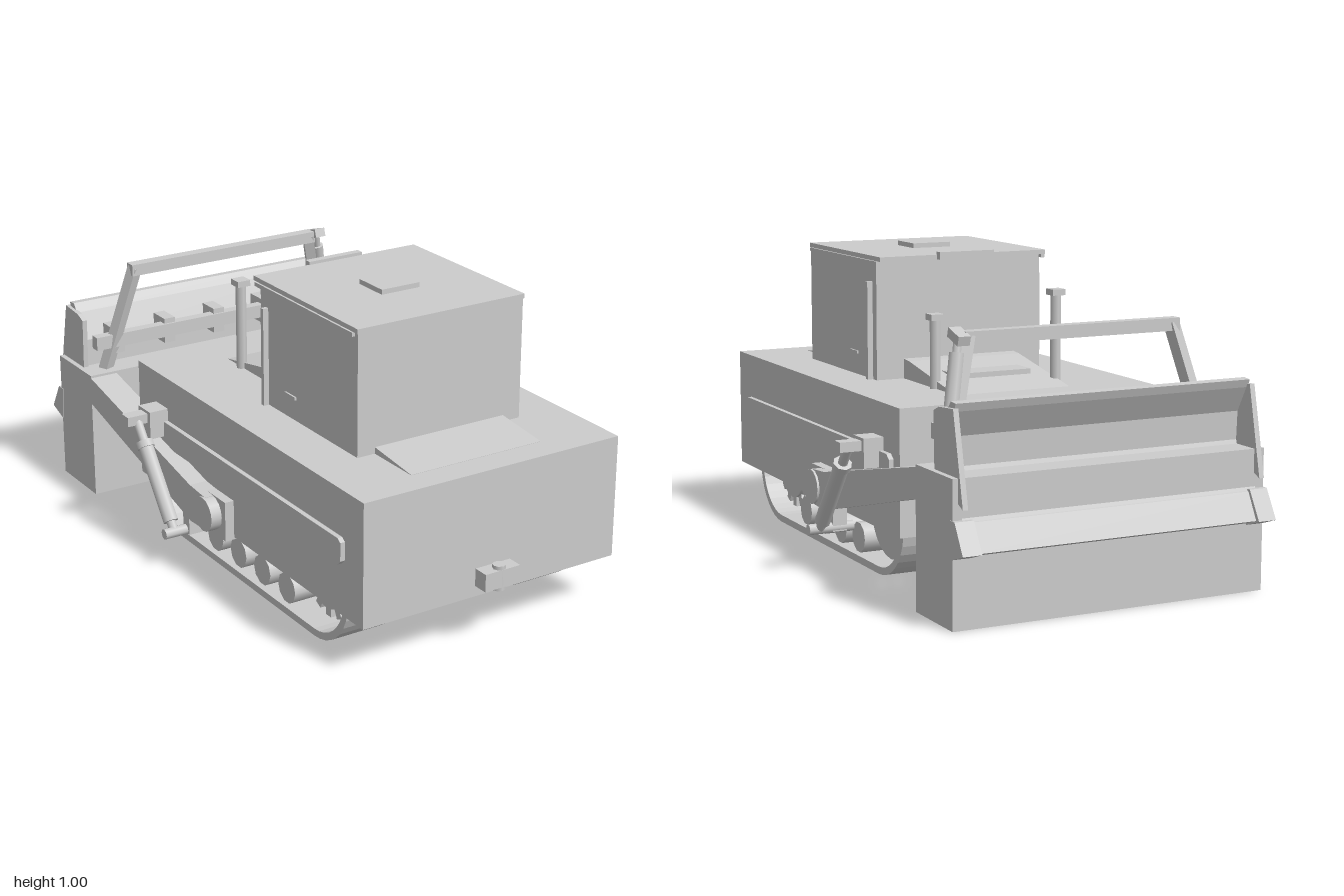
import * as THREE from 'three';

const V = (x, y, z) => new THREE.Vector3(x, y, z);

export function createModel() {
  const model = new THREE.Group();
  model.name = 'bulldozer';
  const paint = new THREE.MeshStandardMaterial({ color: 0xcccccc });
  paint.name = 'light grey';

  const add = (name, geometry) => {
    const mesh = new THREE.Mesh(geometry, paint);
    mesh.name = name;
    model.add(mesh);
    return mesh;
  };
  // box given by its limits on each axis
  const box = (name, x0, x1, y0, y1, z0, z1) =>
    add(name, new THREE.BoxGeometry(x1 - x0, y1 - y0, z1 - z0)
      .translate((x0 + x1) / 2, (y0 + y1) / 2, (z0 + z1) / 2));
  // side profile, as a Shape or a list of [z, y] points, extruded from x0 to x1
  const profile = (name, outline, x0, x1) => {
    const shape = outline instanceof THREE.Shape
      ? outline
      : new THREE.Shape(outline.map(([z, y]) => new THREE.Vector2(z, y)));
    return add(name, new THREE.ExtrudeGeometry(shape, { depth: x1 - x0, bevelEnabled: false, curveSegments: 9 })
      .rotateY(-Math.PI / 2).translate(x1, 0, 0));
  };
  // same profile on both sides, between |x| = x0 and x1
  const pair = (name, outline, x0, x1) => {
    profile(name + 'Left', outline, x0, x1);
    profile(name + 'Right', outline, -x1, -x0);
  };
  const rect = (z0, z1, y0, y1) => [[z0, y0], [z1, y0], [z1, y1], [z0, y1]];
  // bar or rod from a to b
  const between = (name, geometry, a, b) => {
    const mesh = add(name, geometry);
    mesh.position.copy(a).add(b).multiplyScalar(0.5);
    mesh.quaternion.setFromUnitVectors(V(0, 1, 0), b.clone().sub(a).normalize());
  };
  const rod = (name, a, b, r) =>
    between(name, new THREE.CylinderGeometry(r, r, a.distanceTo(b), 8), a, b);
  const bar = (name, a, b, w, d = w) =>
    between(name, new THREE.BoxGeometry(w, a.distanceTo(b), d), a, b);
  const disc = (name, x, y, z, r, w, sides) =>
    add(name, new THREE.CylinderGeometry(r, r, w, sides).rotateZ(Math.PI / 2).translate(x, y, z));

  // Hull
  box('hull', -0.468, 0.468, 0.165, 0.57, -0.435, 0.943);
  pair('sideStrip', [[0.83, 0.335], [-0.37, 0.335], [-0.39, 0.36], [-0.39, 0.405], [-0.37, 0.42], [0.83, 0.42], [0.845, 0.41], [0.845, 0.35]], 0.46, 0.484);
  profile('hood', [[0.12, 0.56], [0.12, 0.638], [0.06, 0.633], [-0.29, 0.57], [-0.29, 0.56]], -0.205, 0.205);
  box('hoodPanel', -0.14, 0.14, 0.57, 0.613, -0.145, -0.02);
  profile('rearDeck', [[0.85, 0.56], [0.85, 0.571], [0.64, 0.593], [0.64, 0.56]], -0.24, 0.24);

  // Nose grille and lamps
  box('nosePlate', -0.3, 0.3, 0.44, 0.56, -0.442, -0.43);
  for (let i = 0; i < 3; i++) box('grilleSlat', -0.12, 0.12, 0.455 + i * 0.035, 0.47 + i * 0.035, -0.452, -0.43);
  for (const s of [-1, 1]) box('noseLamp', s * 0.18 - 0.04, s * 0.18 + 0.04, 0.42, 0.535, -0.462, -0.43);

  // Cabin
  box('cabin', -0.303, 0.303, 0.565, 0.975, 0.1, 0.657);
  box('roof', -0.306, 0.306, 0.965, 0.98, 0.062, 0.66);
  pair('roofGutter', rect(0.08, 0.64, 0.952, 0.965), 0.3, 0.313);
  box('roofHatch', -0.07, 0.07, 0.978, 0.996, 0.31, 0.435);
  box('roofLamp', -0.1, 0.1, 0.965, 0.99, 0.04, 0.065);
  pair('cabinRail', rect(0.13, 0.145, 0.57, 0.895), 0.3, 0.322);
  pair('doorHandle', rect(0.25, 0.31, 0.64, 0.65), 0.3, 0.309);

  // Exhaust stacks
  for (const [x, z, top] of [[-0.205, -0.195, 0.878], [0.203, -0.135, 0.812]]) {
    rod('exhaustStack', V(x, 0.56, z), V(x, top - 0.01, z), 0.018);
    box('exhaustCap', x - 0.023, x + 0.023, top - 0.02, top, z - 0.023, z + 0.023);
  }

  // Rear hitch
  box('hitch', -0.064, 0.064, 0.2, 0.258, 0.94, 0.995);
  rod('hitchPin', V(0, 0.188, 0.975), V(0, 0.27, 0.975), 0.021);

  // Tracks
  const loop = (path, r) => {
    path.moveTo(-0.21, 0.19 - r);
    path.lineTo(0.63, 0.19 - r);
    path.absarc(0.63, 0.19, r, -Math.PI / 2, Math.PI / 2);
    path.lineTo(-0.21, 0.19 + r);
    path.absarc(-0.21, 0.19, r, Math.PI / 2, Math.PI * 1.5);
    return path;
  };
  const belt = loop(new THREE.Shape(), 0.19);
  belt.holes.push(loop(new THREE.Path(), 0.166));
  pair('trackBelt', belt, 0.253, 0.44);
  for (const s of [-1, 1]) {
    const x = s * 0.347;
    disc('idlerWheel', x, 0.195, -0.21, 0.152, 0.1, 24);
    disc('sprocket', x, 0.19, 0.63, 0.105, 0.1, 20);
    for (let i = 0; i < 14; i++) {
      const tooth = add('sprocketTooth', new THREE.BoxGeometry(0.08, 0.04, 0.028).translate(0, -0.118, 0));
      tooth.position.set(x, 0.19, 0.63);
      tooth.rotation.x = (i / 14) * Math.PI * 2;
    }
    for (let i = 0; i < 4; i++) disc('roadWheel', x, 0.076, 0.44 - i * 0.15, 0.051, 0.15, 10);
  }

  // Push arms and their pivots
  pair('pushArm', [[0.12, 0.175], [0.02, 0.17], [-0.7, 0.348], [-0.7, 0.443], [0.02, 0.297], [0.12, 0.29]], 0.43, 0.53);
  pair('armBracket', rect(0.03, 0.195, 0.158, 0.293), 0.45, 0.5);
  for (const s of [-1, 1]) disc('armPivot', s * 0.5, 0.232, 0.115, 0.058, 0.075, 16);

  // Lift cylinders beside the hull
  for (const s of [-1, 1]) {
    const x = s * 0.566, low = V(x, 0.125, -0.03), high = V(x, 0.435, -0.27);
    rod('liftBarrel', low.clone().lerp(high, 0.08), low.clone().lerp(high, 0.78), 0.026);
    rod('liftRod', low, high, 0.016);
    rod('liftCollar', low.clone().lerp(high, 0.74), low.clone().lerp(high, 0.8), 0.031);
    bar('liftHead', V(s * 0.46, 0.437, -0.275), V(s * 0.607, 0.437, -0.275), 0.032, 0.045);
    bar('liftMount', V(s * 0.46, 0.415, -0.275), V(s * 0.535, 0.415, -0.275), 0.095, 0.08);
    rod('liftFootPin', V(s * 0.45, 0.122, -0.025), V(s * 0.605, 0.122, -0.025), 0.018);
    bar('liftFoot', V(s * 0.5, 0.11, -0.02), V(s * 0.5, 0.25, -0.02), 0.05, 0.04);
  }

  // Blade
  box('bladeBody', -0.53, 0.53, 0, 0.447, -0.925, -0.68);
  profile('bladeShell', [[-0.885, 0.655], [-0.875, 0.63], [-0.83, 0.55], [-0.825, 0.46], [-0.86, 0.37], [-0.925, 0.33], [-0.97, 0.235],
    [-0.92, 0.22], [-0.82, 0.34], [-0.78, 0.44], [-0.785, 0.54], [-0.83, 0.63], [-0.855, 0.658]], -0.5, 0.5);
  pair('bladeEndPlate', [[-0.77, 0.44], [-0.765, 0.62], [-0.8, 0.635], [-0.893, 0.642], [-0.955, 0.36], [-0.92, 0.375], [-0.92, 0.44]], 0.495, 0.512);
  profile('cuttingEdge', [[-0.92, 0.322], [-0.935, 0.318], [-0.98, 0.235], [-0.92, 0.215]], -0.5, 0.5);
  pair('cornerBit', [[-0.91, 0.325], [-0.942, 0.325], [-0.995, 0.235], [-0.92, 0.21]], 0.47, 0.532);

  // Beam with stubs behind the blade
  box('bladeBeam', -0.49, 0.49, 0.525, 0.572, -0.738, -0.702);
  for (let i = -2; i <= 2; i++) box('beamStub', i * 0.2 - 0.021, i * 0.2 + 0.021, 0.5, 0.59, -0.79, -0.71);

  // Guard frame and tilt cylinder
  bar('frameTopBar', V(-0.37, 0.81, -0.67), V(0.37, 0.81, -0.67), 0.04);
  for (const s of [-1, 1]) bar('framePost', V(s * 0.35, 0.815, -0.67), V(s * 0.445, 0.44, -0.735), 0.036);
  const top = V(0.385, 0.815, -0.67), foot = V(0.45, 0.5, -0.73);
  rod('tiltRod', top, foot, 0.014);
  rod('tiltBarrel', top.clone().lerp(foot, 0.15), top.clone().lerp(foot, 0.65), 0.024);
  bar('tiltHead', V(0.385, 0.826, -0.64), V(0.385, 0.805, -0.71), 0.04, 0.03);
  box('tiltFoot', 0.42, 0.475, 0.44, 0.52, -0.77, -0.7);

  return model;
}
